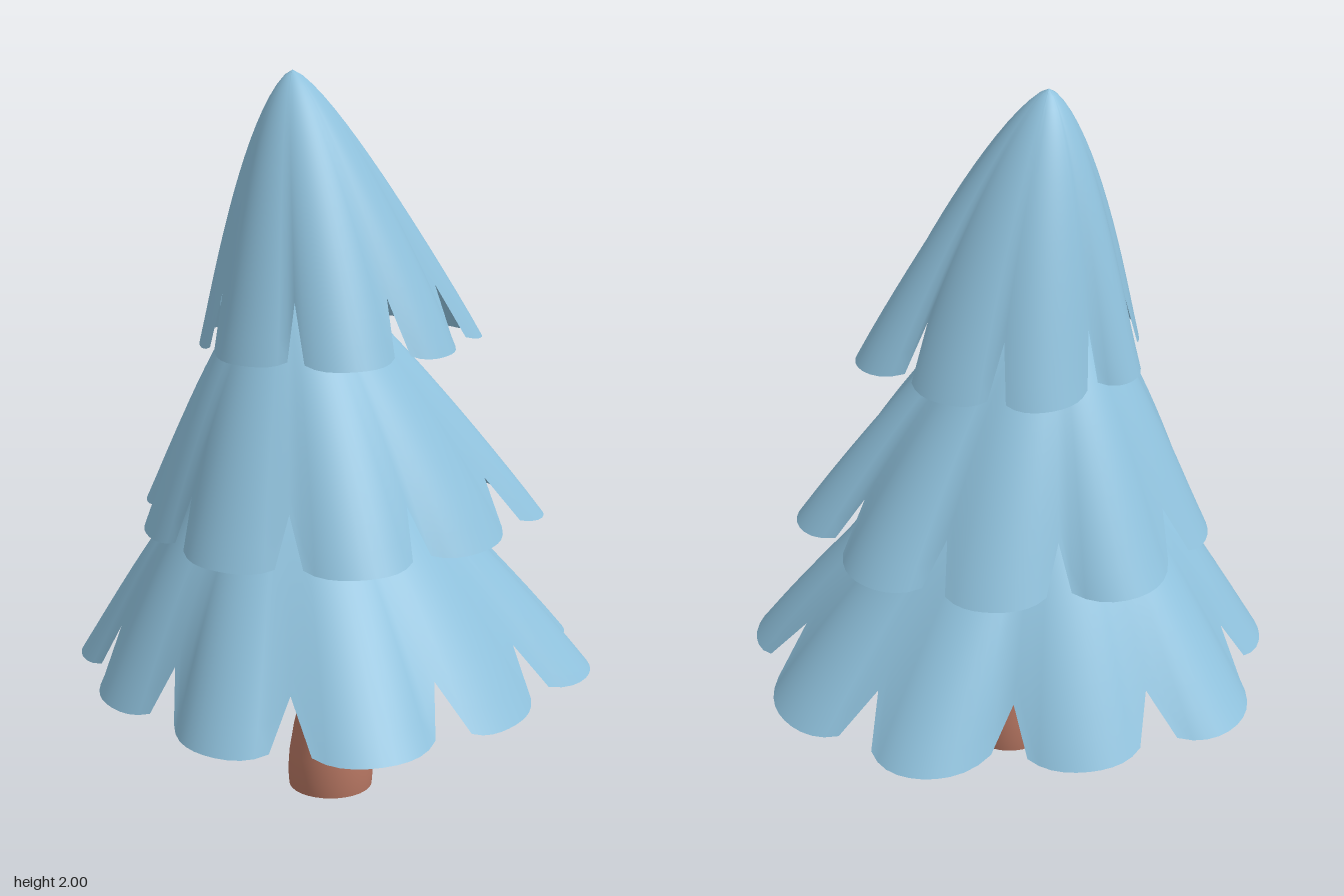
import * as THREE from 'three';

const foliage = new THREE.MeshStandardMaterial({ color: 0x8fc1dc, side: THREE.DoubleSide });
foliage.name = 'frosty blue needles';
const bark = new THREE.MeshStandardMaterial({ color: 0xb57561 });
bark.name = 'reddish bark';

// Each lobe: [notch angle in degrees, radius at its start, middle and end]
const TIERS = [
  {
    name: 'lowerBranches', apex: 1.12, hem: 0.365, mean: 0.69, cut: 0.14, half: 4.5,
    lobes: [
      [-33, 0.71, 0.73, 0.65], [3, 0.635, 0.668, 0.67], [38, 0.66, 0.735, 0.71],
      [75, 0.70, 0.715, 0.63], [111, 0.625, 0.66, 0.63], [148, 0.63, 0.70, 0.675],
      [184, 0.69, 0.755, 0.695], [220, 0.67, 0.68, 0.625], [256, 0.61, 0.72, 0.705],
      [292, 0.71, 0.757, 0.713],
    ],
  },
  {
    name: 'middleBranches', apex: 1.51, hem: 0.79, mean: 0.53, cut: 0.14, half: 4,
    lobes: [
      [-43, 0.53, 0.60, 0.54], [-9, 0.50, 0.515, 0.48], [37, 0.50, 0.55, 0.52],
      [78, 0.525, 0.547, 0.515], [118, 0.49, 0.505, 0.48], [161, 0.47, 0.545, 0.545],
      [199, 0.525, 0.566, 0.495], [241, 0.50, 0.535, 0.52], [279, 0.51, 0.567, 0.54],
    ],
  },
  {
    name: 'upperBranches', apex: 2, hem: 1.285, mean: 0.365, cut: 0.16, half: 4,
    lobes: [
      [-54, 0.345, 0.425, 0.38], [-13, 0.35, 0.372, 0.345], [32, 0.34, 0.388, 0.375],
      [80, 0.35, 0.377, 0.36], [126, 0.345, 0.34, 0.33], [173, 0.31, 0.37, 0.325],
      [217, 0.34, 0.374, 0.36], [262, 0.345, 0.369, 0.36],
    ],
  },
];

// Fluted cone leaning to its apex, with a V notch between neighbouring lobes
function tierGeometry({ apex, hem, mean, cut, half, lobes }) {
  const height = apex - hem, rows = 16, steps = 10;
  const columns = [];
  lobes.forEach(([angle, start, mid, end], i) => {
    const previous = lobes[(i + lobes.length - 1) % lobes.length];
    const next = i + 1 < lobes.length ? lobes[i + 1][0] : lobes[0][0] + 360;
    columns.push({ angle, radius: (previous[3] + start) / 2, reach: 1 - cut / height });
    for (let j = 0; j <= steps; j++) {
      const u = j / steps;
      const bulge = (mid - (start + end) / 2) * (1 - (2 * u - 1) ** 2);
      columns.push({
        angle: THREE.MathUtils.lerp(angle + half, next - half, u),
        radius: THREE.MathUtils.lerp(start, end, u) + bulge,
        reach: 1 - 0.02 * (2 * u - 1) ** 4,
      });
    }
  });

  const position = [], index = [];
  for (const { angle, radius, reach } of columns) {
    const a = THREE.MathUtils.degToRad(angle);
    for (let k = 0; k <= rows; k++) {
      const t = reach * (k / rows) ** 1.4;
      const r = t ** 0.7 * THREE.MathUtils.lerp(mean, radius, t);
      const lean = (1 - t) ** 1.2;
      position.push(-0.085 * lean + r * Math.cos(a), apex - t * height, 0.022 * lean + r * Math.sin(a));
    }
  }
  const n = rows + 1;
  for (let i = 0; i < columns.length; i++) {
    const p = i * n, q = ((i + 1) % columns.length) * n;
    for (let k = 0; k < rows; k++) {
      if (k > 0) index.push(p + k, q + k, p + k + 1);
      index.push(q + k, q + k + 1, p + k + 1);
    }
  }
  const geometry = new THREE.BufferGeometry();
  geometry.setAttribute('position', new THREE.Float32BufferAttribute(position, 3));
  geometry.setIndex(index);
  geometry.computeVertexNormals();
  return geometry;
}

export function createModel() {
  const tree = new THREE.Group();
  tree.name = 'snowyFirTree';

  for (const tier of TIERS) {
    const mesh = new THREE.Mesh(tierGeometry(tier), foliage);
    mesh.name = tier.name;
    tree.add(mesh);
  }

  // Trunk with a swollen foot, tapering up inside the branches
  const trunk = new THREE.Group();
  trunk.name = 'trunk';
  trunk.position.set(0.01, 0, -0.01);
  const profile = [
    [0.117, 0], [0.12, 0.04], [0.116, 0.1], [0.103, 0.18], [0.084, 0.26], [0.076, 0.3],
    [0.072, 0.4], [0.058, 0.83], [0.047, 1.12], [0.035, 1.63], [0, 1.7],
  ].map(([x, y]) => new THREE.Vector2(x, y));
  const stem = new THREE.Mesh(new THREE.LatheGeometry(profile, 32), bark);
  stem.name = 'trunkStem';
  const base = new THREE.Mesh(new THREE.CircleGeometry(0.117, 32).rotateX(Math.PI / 2), bark);
  base.name = 'trunkBase';
  trunk.add(stem, base);
  tree.add(trunk);

  return tree;
}
